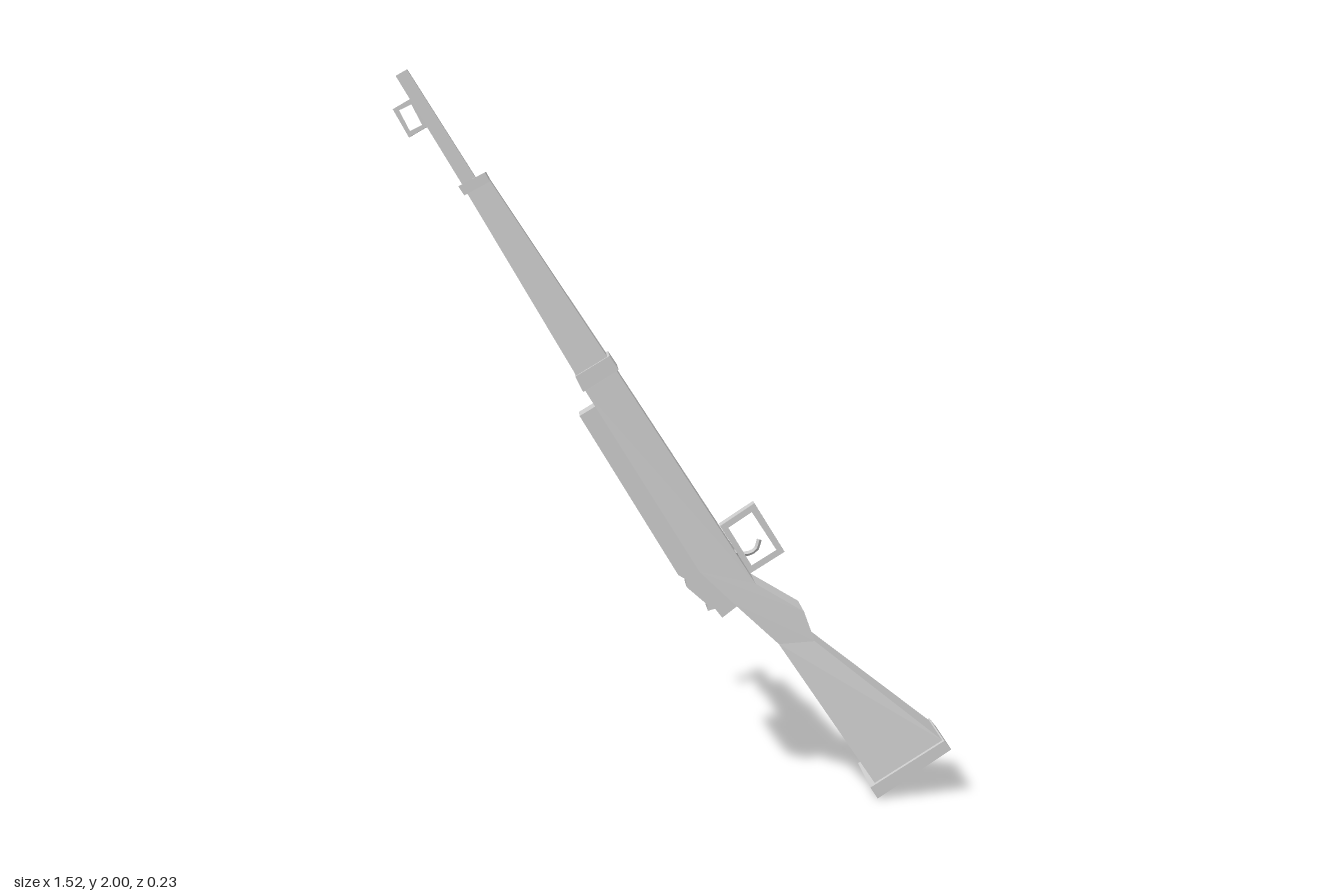
import * as THREE from 'three';

const material = new THREE.MeshStandardMaterial({ color: 0xcccccc, flatShading: true });

// Flat part: side outline in x/y given thickness from z0 to z1, with an optional hole
function slab(name, outline, z0, z1, hole) {
  const points = (list) => list.map(([x, y]) => new THREE.Vector2(x, y));
  const shape = new THREE.Shape(points(outline));
  if (hole) shape.holes.push(new THREE.Path(points(hole)));
  const geometry = new THREE.ExtrudeGeometry(shape, { depth: z1 - z0, bevelEnabled: false });
  geometry.translate(0, 0, z0);
  const mesh = new THREE.Mesh(geometry, material);
  mesh.name = name;
  return mesh;
}

// Tapered part: four-cornered sections [leftX, leftY, rightX, rightY, z0, z1], top to bottom
function loft(name, sections) {
  const positions = [];
  const index = [];
  for (const [lx, ly, rx, ry, z0, z1] of sections) {
    positions.push(lx, ly, z1, rx, ry, z1, rx, ry, z0, lx, ly, z0);
  }
  for (let i = 0; i < sections.length - 1; i++) {
    for (let j = 0; j < 4; j++) {
      const a = i * 4 + j, b = i * 4 + (j + 1) % 4;
      index.push(a, a + 4, b + 4, a, b + 4, b);
    }
  }
  const e = (sections.length - 1) * 4;
  index.push(0, 1, 2, 0, 2, 3, e, e + 2, e + 1, e, e + 3, e + 2);
  const indexed = new THREE.BufferGeometry();
  indexed.setAttribute('position', new THREE.Float32BufferAttribute(positions, 3));
  indexed.setIndex(index);
  const geometry = indexed.toNonIndexed();
  geometry.computeVertexNormals();
  const mesh = new THREE.Mesh(geometry, material);
  mesh.name = name;
  return mesh;
}

export function createModel() {
  const model = new THREE.Group();
  model.name = 'rifle';

  // Wooden stock: fore-end, wrist and butt in one tapering body
  model.add(loft('stock', [
    [-0.57, 1.68, -0.51, 1.715, -0.08, 0.0],
    [-0.25, 1.135, -0.165, 1.19, -0.083, 0.028],
    [0.06, 0.635, 0.215, 0.6, -0.085, 0.052],
    [0.155, 0.545, 0.35, 0.52, -0.083, 0.056],
    [0.28, 0.43, 0.38, 0.437, -0.08, 0.06],
    [0.55, 0.035, 0.74, 0.155, -0.1, 0.105],
  ]));

  // Barrel and front sight loop
  model.add(loft('barrel', [
    [-0.752, 1.983, -0.722, 2.0, -0.065, -0.022],
    [-0.57, 1.68, -0.535, 1.7, -0.062, -0.018],
  ]));
  model.add(slab('frontSight',
    [[-0.762, 1.895], [-0.71, 1.925], [-0.668, 1.85], [-0.72, 1.82]], -0.057, -0.032,
    [[-0.745, 1.892], [-0.712, 1.908], [-0.684, 1.853], [-0.717, 1.837]]));

  // Bands around the fore-end
  model.add(slab('upperBand',
    [[-0.588, 1.69], [-0.516, 1.727], [-0.503, 1.703], [-0.572, 1.666]], -0.095, 0.015));
  model.add(slab('lowerBand',
    [[-0.278, 1.177], [-0.185, 1.233], [-0.16, 1.195], [-0.257, 1.135]], -0.097, 0.04));

  // Receiver cover along the upper edge, with stepped rear end
  model.add(slab('receiver', [
    [-0.267, 1.068], [-0.222, 1.095], [0.08, 0.635], [0.17, 0.535], [0.125, 0.5],
    [0.105, 0.526], [0.085, 0.52], [0.083, 0.538], [0.026, 0.588], [0.024, 0.61], [0.003, 0.622],
  ], -0.06, 0.03));

  // Trigger guard and curved trigger
  model.add(slab('triggerGuard',
    [[0.12, 0.755], [0.215, 0.818], [0.3, 0.68], [0.204, 0.62]], -0.03, 0.01,
    [[0.143, 0.75], [0.208, 0.793], [0.277, 0.686], [0.208, 0.643]]));
  const triggerCurve = new THREE.CatmullRomCurve3([
    [0.15, 0.68], [0.195, 0.672], [0.222, 0.685], [0.231, 0.713],
  ].map(([x, y]) => new THREE.Vector3(x, y, -0.01)));
  const trigger = new THREE.Mesh(new THREE.TubeGeometry(triggerCurve, 8, 0.007, 4), material);
  trigger.name = 'trigger';
  model.add(trigger);

  // Butt plate
  model.add(slab('buttPlate',
    [[0.532, 0.032], [0.737, 0.162], [0.757, 0.137], [0.553, 0.0]], -0.115, 0.118));

  return model;
}
